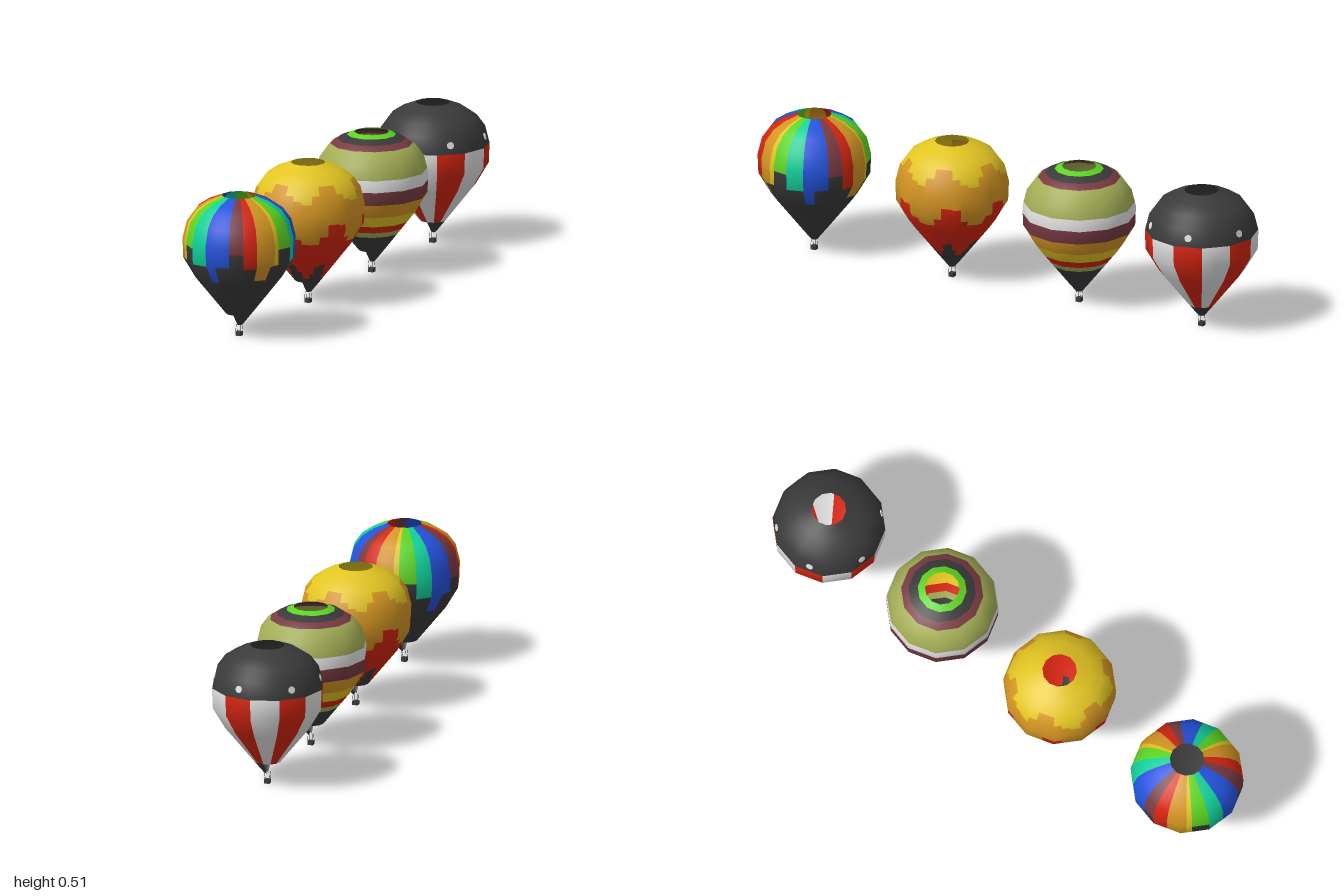
import * as THREE from 'three';

const mat = (name, color, side = THREE.DoubleSide) => {
  const m = new THREE.MeshStandardMaterial({ color, side });
  m.name = name;
  return m;
};
const M = {
  charcoal: mat('charcoal', 0x3a3a3a),
  white: mat('white', 0xe0e0e0),
  red: mat('red', 0xd42410),
  orange: mat('orange', 0xd39422),
  yellow: mat('yellow', 0xe2c422),
  lime: mat('lime', 0x5cd422),
  teal: mat('teal', 0x10cf9a),
  blue: mat('blue', 0x2452dc),
  maroon: mat('maroon', 0x783a42),
  olive: mat('olive', 0xa2ac55),
};

// Envelope profile from the top vent to the mouth: [height, radius]
const PROFILE = [
  [0.515, 0.062], [0.495, 0.114], [0.467, 0.157], [0.426, 0.187], [0.362, 0.203],
  [0.29, 0.2], [0.215, 0.155], [0.082, 0.047], [0.04, 0.012],
];
const TOP = 0.515, SKIRT = 0.082, MOUTH = 0.04;
const RAD = Math.PI / 180;

function radiusAt(y) {
  if (y >= TOP) return PROFILE[0][1];
  for (let i = 1; i < PROFILE.length; i++) {
    const [y0, r0] = PROFILE[i - 1], [y1, r1] = PROFILE[i];
    if (y >= y1) return r1 + (r0 - r1) * (y - y1) / (y0 - y1);
  }
  return 0.012;
}

function slopeAt(y) {
  const a = Math.min(TOP, y + 0.025), b = Math.max(MOUTH, y - 0.025);
  return (radiusAt(a) - radiusAt(b)) / (a - b);
}

// Point on the twelve-sided envelope; azimuth in degrees runs from +z to +x
function surfacePoint(az, y) {
  const inFacet = ((az % 30) + 30) % 30 - 15;
  const r = radiusAt(y) * Math.cos(15 * RAD) / Math.cos(inFacet * RAD);
  return new THREE.Vector3(r * Math.sin(az * RAD), y, r * Math.cos(az * RAD));
}
const surfaceNormal = (az, y) =>
  new THREE.Vector3(Math.sin(az * RAD), -slopeAt(y), Math.cos(az * RAD)).normalize();

// bandsAt(azimuth) lists [colour, bottom height] downwards from the vent
function envelope(bandsAt) {
  const step = 3, parts = {};
  const strip = (colour, a0, a1, yTop, yBottom) => {
    const p = parts[colour] ??= { pos: [], nor: [], idx: [] };
    const ys = [yTop, ...PROFILE.map(q => q[0]).filter(y => y < yTop - 1e-4 && y > yBottom + 1e-4), yBottom];
    const base = p.pos.length / 3;
    ys.forEach((y, i) => {
      for (const a of [a0, a1]) {
        p.pos.push(...surfacePoint(a, y).toArray());
        p.nor.push(...surfaceNormal(a, y).toArray());
      }
      if (i) {
        const k = base + 2 * (i - 1);
        p.idx.push(k, k + 2, k + 3, k, k + 3, k + 1);
      }
    });
  };
  for (let a = 0; a < 360; a += step) {
    let y = TOP;
    for (const [colour, bottom] of [...bandsAt(a + step / 2), ['charcoal', SKIRT]]) {
      if (bottom < y) strip(colour, a, a + step, y, bottom);
      y = Math.min(y, bottom);
    }
    // the mouth skirt only wraps one side
    if (a < 180) strip('charcoal', a, a + step, SKIRT, MOUTH);
  }
  const group = new THREE.Group();
  group.name = 'envelope';
  for (const [colour, p] of Object.entries(parts)) {
    const g = new THREE.BufferGeometry();
    g.setAttribute('position', new THREE.Float32BufferAttribute(p.pos, 3));
    g.setAttribute('normal', new THREE.Float32BufferAttribute(p.nor, 3));
    g.setIndex(p.idx);
    const mesh = new THREE.Mesh(g, M[colour]);
    mesh.name = colour + 'Fabric';
    group.add(mesh);
  }
  return group;
}

// Basket hung on four thin ropes
function basket() {
  const group = new THREE.Group();
  group.name = 'basket';
  const box = new THREE.Mesh(new THREE.BoxGeometry(0.02, 0.015, 0.02), M.charcoal);
  box.name = 'basketBox';
  box.position.y = 0.0075;
  group.add(box);
  for (const sx of [-1, 1]) for (const sz of [-1, 1]) {
    const path = new THREE.LineCurve3(
      new THREE.Vector3(sx * 0.0095, 0.014, sz * 0.0095), new THREE.Vector3(sx * 0.0075, 0.042, sz * 0.0075));
    const rope = new THREE.Mesh(new THREE.TubeGeometry(path, 1, 0.0007, 4), M.charcoal);
    rope.name = 'rope';
    group.add(rope);
  }
  return group;
}

// Picks the entry [end angle, ...values] that covers an angle within a repeat
const pick = (table, az, period) => table.find(row => az % period < row[0]);

// Dripping rainbow stripes, repeated three times around
const RAINBOW = [
  [15, 'blue', 0.29], [30, 'maroon', 0.34], [45, 'red', 0.285], [60, 'orange', 0.235],
  [66, 'orange', 0.29], [72, 'yellow', 0.29], [90, 'lime', 0.345], [108, 'teal', 0.287], [120, 'blue', 0.225],
];
const rainbowBands = az => {
  const [, colour, bottom] = pick(RAINBOW, az, 120);
  return [[colour, bottom]];
};

// Stepped flames: bottoms of yellow, orange and red
const FLAMES = [
  [9, 0.43, 0.32, 0.13], [18, 0.41, 0.27, 0.1], [30, 0.4, 0.25, 0.1],
  [39, 0.43, 0.25, 0.12], [48, 0.46, 0.28, 0.15], [60, 0.46, 0.325, 0.16],
];
const flameBands = az => {
  const [, yellow, orange, red] = pick(FLAMES, az, 60);
  return [['yellow', yellow], ['orange', orange], ['red', red]];
};

// Horizontal rings
const ringBands = () => [
  ['lime', 0.505], ['charcoal', 0.49], ['maroon', 0.473], ['olive', 0.378], ['white', 0.335],
  ['maroon', 0.287], ['orange', 0.235], ['yellow', 0.195], ['red', 0.168], ['olive', 0.147],
];

// Dark cap over red and white gores
const goreBands = az => [['charcoal', 0.365], [az % 60 < 30 ? 'white' : 'red', SKIRT]];

// Round white patches on the dark cap
function capDots() {
  const group = new THREE.Group();
  group.name = 'capDots';
  const up = new THREE.Vector3(0, 1, 0);
  for (let az = 45; az < 360; az += 60) {
    const dot = new THREE.Mesh(new THREE.CylinderGeometry(0.013, 0.013, 0.006, 12), M.white);
    dot.name = 'capDot';
    dot.position.copy(surfacePoint(az, 0.396));
    dot.quaternion.setFromUnitVectors(up, surfaceNormal(az, 0.396));
    group.add(dot);
  }
  return group;
}

export function createModel() {
  const model = new THREE.Group();
  model.name = 'hotAirBalloons';
  const balloons = [
    ['rainbowBalloon', 0.797, rainbowBands],
    ['flameBalloon', 0.23, flameBands],
    ['ringBalloon', -0.293, ringBands],
    ['goreBalloon', -0.797, goreBands],
  ];
  for (const [name, z, bands] of balloons) {
    const balloon = new THREE.Group();
    balloon.name = name;
    balloon.position.z = z;
    balloon.add(envelope(bands), basket());
    if (bands === goreBands) balloon.add(capDots());
    model.add(balloon);
  }
  return model;
}
